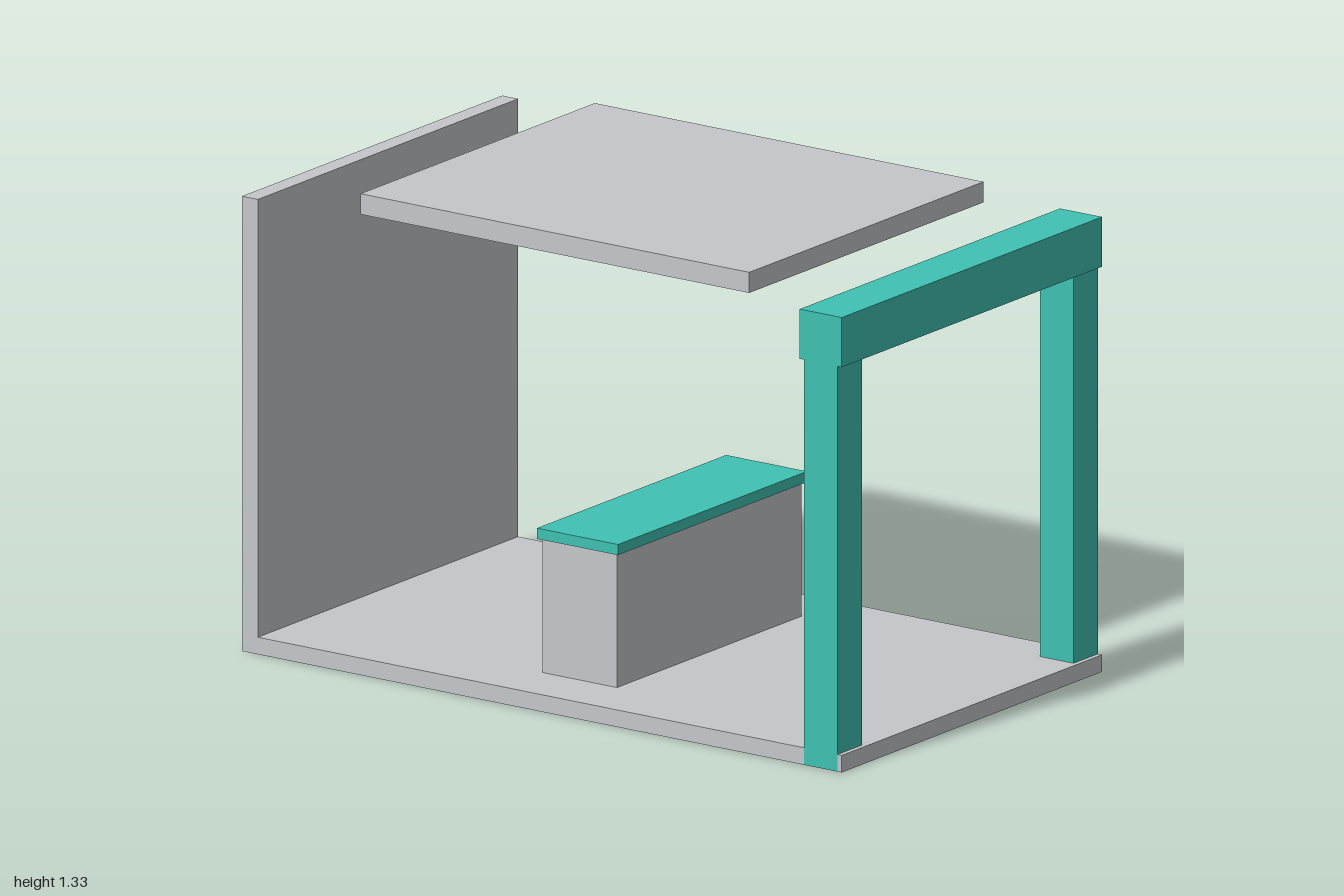
import * as THREE from 'three';

export function createModel() {
  const model = new THREE.Group();
  const grey = new THREE.MeshStandardMaterial({ color: 0xc5c6ca });
  grey.name = 'light grey';
  const teal = new THREE.MeshStandardMaterial({ color: 0x40c1b3 });
  teal.name = 'teal';

  const add = (name, geometry, material) => {
    const mesh = new THREE.Mesh(geometry, material);
    mesh.name = name;
    model.add(mesh);
    return mesh;
  };
  // Box given by its [min, max] range along each axis
  const box = (name, [x0, x1], [y0, y1], [z0, z1], material) =>
    add(name, new THREE.BoxGeometry(x1 - x0, y1 - y0, z1 - z0), material)
      .position.set((x0 + x1) / 2, (y0 + y1) / 2, (z0 + z1) / 2);

  const W = 0.6, floorTop = 0.048, wallTop = 1.28;
  const postIn = 0.488, postBack = 0.874, postFront = 0.986;

  // Floor slab, notched at the sides where the posts pass through (plan drawn as x, -z)
  const half = [[W, 1], [W, -postBack], [postIn, -postBack], [postIn, -postFront], [W, -postFront], [W, -1]];
  const outline = [...half, ...half.map(([x, y]) => [-x, y]).reverse()];
  const plan = new THREE.Shape(outline.map(([x, y]) => new THREE.Vector2(x, y)));
  const floor = new THREE.ExtrudeGeometry(plan, { depth: floorTop, bevelEnabled: false });
  floor.rotateX(-Math.PI / 2);
  add('floor', floor, grey);

  // Back wall and floating roof panel
  box('backWall', [-W, W], [floorTop, wallTop], [-1, -0.947], grey);
  box('roofPanel', [-0.54, 0.54], [1.275, 1.333], [-0.648, 0.648], grey);

  // Front gateway
  box('leftPost', [postIn, W], [0, 1.14], [postBack, postFront], teal);
  box('rightPost', [-W, -postIn], [0, 1.14], [postBack, postFront], teal);
  box('frontBeam', [-W, W], [1.14, wallTop], [0.86, 1], teal);

  // Counter
  box('counterBase', [-0.425, 0.425], [floorTop, 0.425], [-0.124, 0.124], grey);
  box('counterTop', [-0.436, 0.436], [0.425, 0.455], [-0.135, 0.135], teal);

  return model;
}
